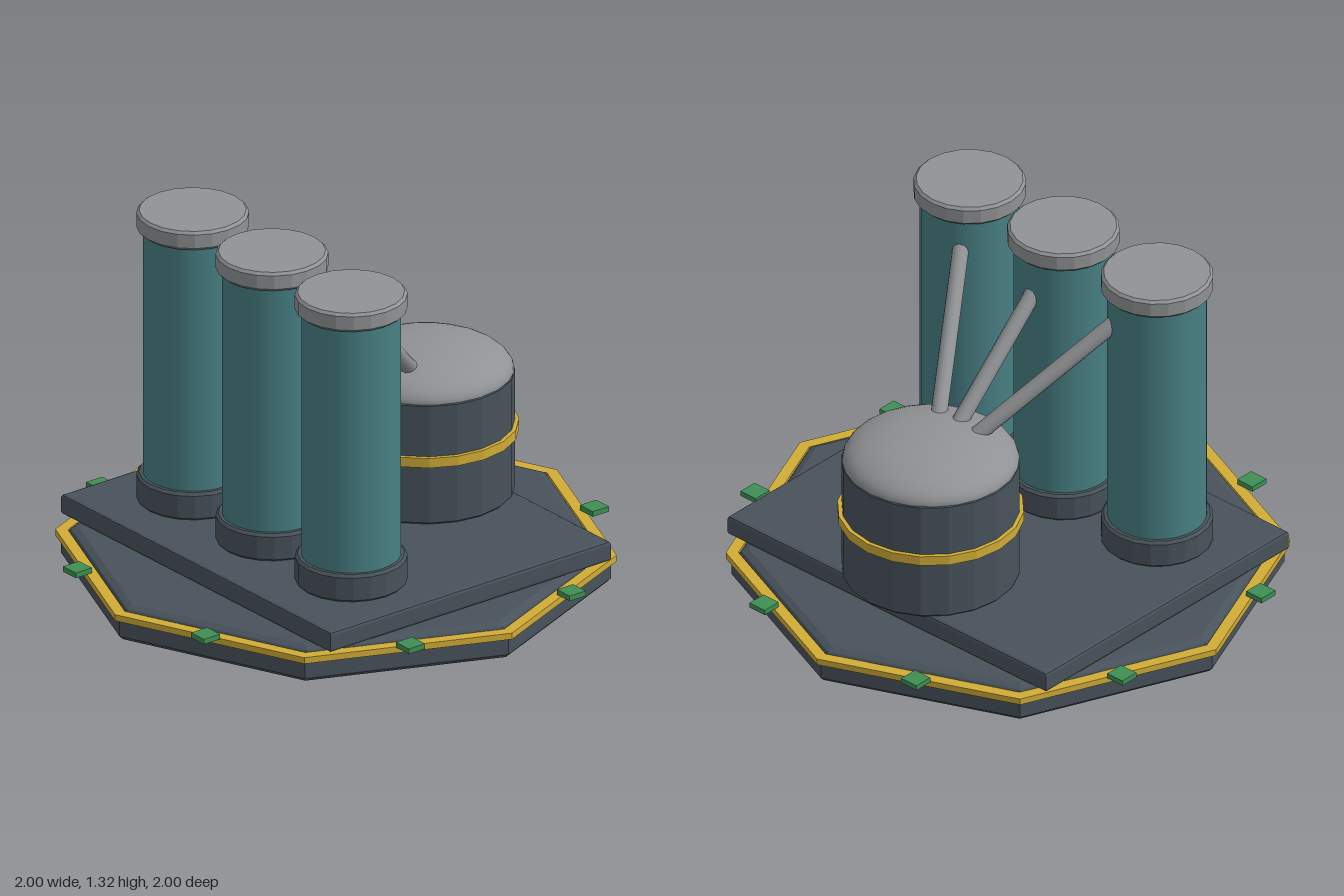
import * as THREE from 'three';
import { toCreasedNormals } from 'three/addons/utils/BufferGeometryUtils.js';

const material = (name, color) => {
  const m = new THREE.MeshStandardMaterial({ color });
  m.name = name;
  return m;
};

export function createModel() {
  const slate = material('slate', 0x48525b);
  const teal = material('teal', 0x488084);
  const steel = material('steel', 0x909294);
  const yellow = material('yellow', 0xd0ac36);
  const green = material('green', 0x3f8f54);

  const model = new THREE.Group();
  model.name = 'tubeStation';

  function add(parent, name, geometry, mat, x = 0, y = 0, z = 0) {
    const mesh = new THREE.Mesh(geometry, mat);
    mesh.name = name;
    mesh.position.set(x, y, z);
    parent.add(mesh);
    return mesh;
  }

  // Turned profile, listed upwards along the outside, with creased facets
  const turned = (points, sides, crease = 0.1) => toCreasedNormals(
    new THREE.LatheGeometry(points.map(([r, y]) => new THREE.Vector2(r, y)), sides), crease);

  // Drum with bevelled rims
  const drum = (r, y0, y1, bevel, sides) => turned([
    [0, y0], [r - bevel, y0], [r, y0 + bevel], [r, y1 - bevel], [r - bevel, y1], [0, y1],
  ], sides);

  // Closed ring with a rectangular section
  const ring = (inner, outer, y0, y1, sides) => turned([
    [outer, y0], [outer, y1], [inner, y1], [inner, y0], [outer, y0],
  ], sides);

  // Octagonal base with its trim
  add(model, 'base', turned([
    [0, 0.005], [0.965, 0.005], [0.98, 0.02], [0.98, 0.09], [0.955, 0.1],
    [0.945, 0.115], [0.92, 0.126], [0, 0.126],
  ], 8), slate);
  add(model, 'baseTrim', ring(0.955, 1, 0.086, 0.11, 8), yellow);

  // Small lights along the rim, two per quadrant
  for (const sx of [-1, 1]) for (const sz of [-1, 1]) {
    for (const [x, z] of [[0.364, 0.88], [0.88, 0.364]]) {
      add(model, 'rimLight', new THREE.BoxGeometry(0.073, 0.02, 0.073), green, sx * x, 0.122, sz * z);
    }
  }

  // Rectangular platform with bevelled edges
  const b = 0.012;
  const w = 0.765 - b, d = 0.635 - b;
  const plan = new THREE.Shape([[-w, -d], [w, -d], [w, d], [-w, d]].map(([x, y]) => new THREE.Vector2(x, y)));
  const platform = new THREE.ExtrudeGeometry(plan, {
    depth: 0.078 - 2 * b, bevelEnabled: true, bevelSize: b, bevelThickness: b, bevelSegments: 2,
  });
  platform.rotateX(-Math.PI / 2);
  add(model, 'platform', platform, slate, 0, 0.127 + b, 0);

  // Three tall tubes in a row
  for (const x of [-0.45, 0, 0.45]) {
    const tube = new THREE.Group();
    tube.name = 'tube';
    tube.position.set(x, 0, 0.29);
    model.add(tube);
    add(tube, 'tubeCollar', drum(0.2, 0.203, 0.31, 0.01, 20), slate);
    add(tube, 'tubeBody', new THREE.CylinderGeometry(0.177, 0.177, 0.97, 32), teal, 0, 0.78, 0);
    add(tube, 'tubeCap', drum(0.2, 1.253, 1.325, 0.01, 20), steel);
  }

  // Tank with a band and a shallow dome
  const tank = new THREE.Group();
  tank.name = 'tank';
  tank.position.set(0, 0, -0.405);
  model.add(tank);
  add(tank, 'tankBody', drum(0.317, 0.203, 0.675, 0.01, 20), slate);
  add(tank, 'tankBand', ring(0.305, 0.332, 0.433, 0.47, 20), yellow);
  const dome = new THREE.SphereGeometry(0.315, 24, 10, 0, Math.PI * 2, 0, Math.PI / 2);
  dome.scale(1, 0.112 / 0.315, 1);
  add(tank, 'tankDome', dome, steel, 0, 0.67, 0);

  // Pipes fanning from the dome to the tubes
  for (const side of [-1, 0, 1]) {
    const from = new THREE.Vector3(side * 0.067, 0.71, -0.3);
    const to = new THREE.Vector3(side * 0.378, 1.15, 0.17);
    const along = to.clone().sub(from);
    const pipe = add(model, 'pipe', new THREE.CylinderGeometry(0.03, 0.03, along.length(), 12), steel);
    pipe.position.copy(from).add(to).multiplyScalar(0.5);
    pipe.quaternion.setFromUnitVectors(new THREE.Vector3(0, 1, 0), along.normalize());
  }

  return model;
}
